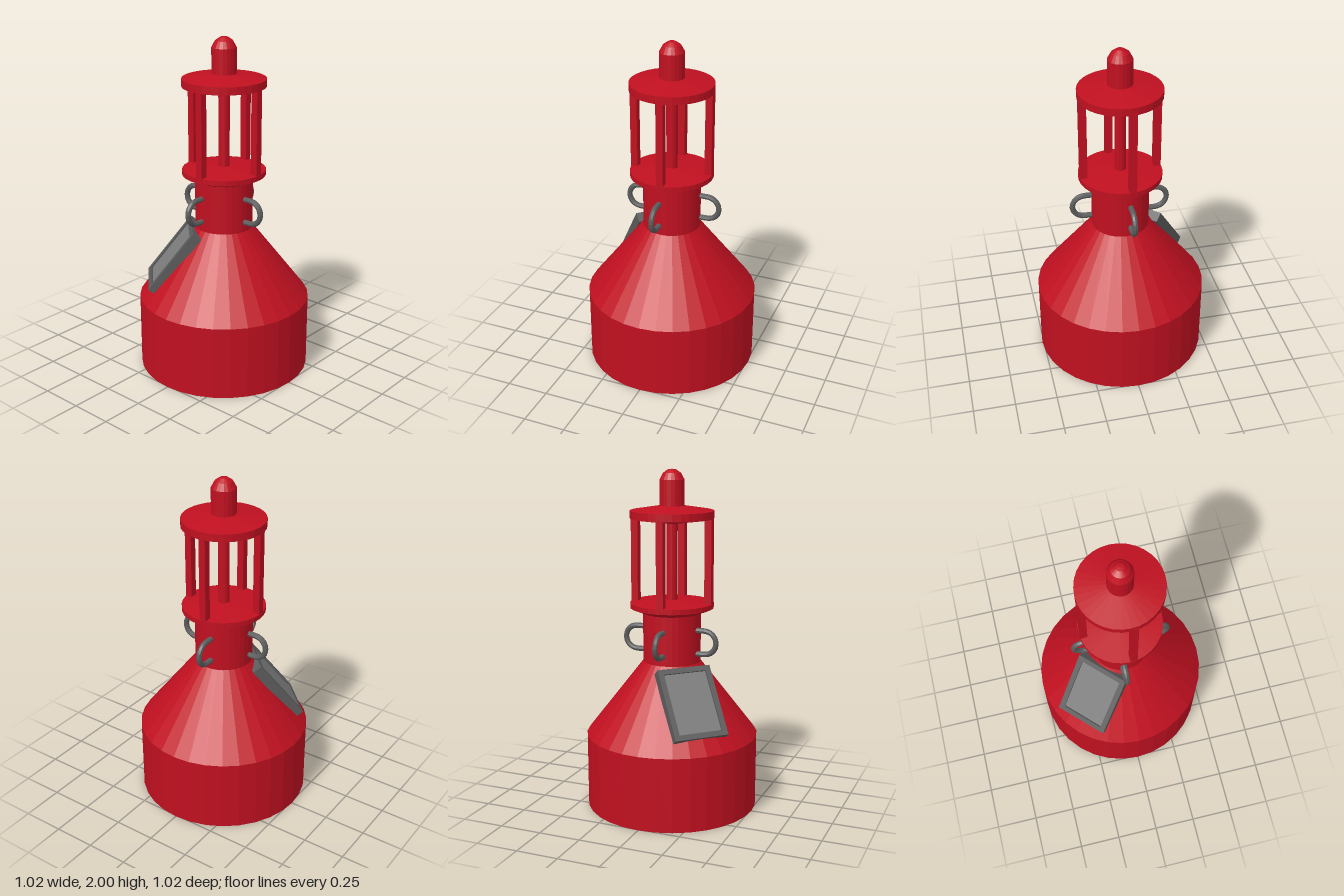
import * as THREE from 'three';

const red = new THREE.MeshStandardMaterial({ color: 0xc01020, flatShading: true });
const darkGrey = new THREE.MeshStandardMaterial({ color: 0x5c5c5c, flatShading: true });
const panelGrey = new THREE.MeshStandardMaterial({ color: 0x7c7c7c, flatShading: true });

export function createModel() {
  const model = new THREE.Group();

  function add(name, geometry, material, parent = model) {
    const mesh = new THREE.Mesh(geometry, material);
    mesh.name = name;
    parent.add(mesh);
    return mesh;
  }
  // profile: [radius, height] pairs from bottom to top
  function turned(name, profile, sides = 32) {
    const points = profile.map(([r, y]) => new THREE.Vector2(r, y));
    return add(name, new THREE.LatheGeometry(points, sides), red);
  }

  // Float body, shoulder, neck and lower flange
  turned('hull', [[0, 0], [0.51, 0], [0.51, 0.44], [0.17, 0.88], [0.17, 1.18]]);
  turned('lowerFlange', [[0.17, 1.17], [0.245, 1.2], [0.245, 1.23], [0, 1.25]]);

  // Lantern: central pole, roof and domed cap
  turned('centralPole', [[0.033, 1.23], [0.033, 1.71]], 16);
  turned('roof', [[0, 1.685], [0.243, 1.72], [0.243, 1.765], [0.07, 1.793], [0, 1.793]]);
  turned('lanternCap', [[0.072, 1.78], [0.072, 1.94], [0.051, 1.978], [0.022, 1.998], [0, 2]], 20);

  // Four cage posts, each set slightly to one side of its axis
  for (let i = 0; i < 4; i++) {
    const pivot = new THREE.Group();
    pivot.name = 'cagePost';
    pivot.rotation.y = (i * Math.PI) / 2;
    add('post', new THREE.BoxGeometry(0.042, 0.51, 0.042), red, pivot).position.set(0.022, 1.475, 0.221);
    model.add(pivot);
  }

  // Four D-shaped lifting handles around the neck
  const handlePath = new THREE.CurvePath();
  const arc = [];
  for (let i = 0; i <= 10; i++) {
    const a = Math.PI / 2 - (i / 10) * Math.PI;
    arc.push(new THREE.Vector3(0.215 + 0.07 * Math.cos(a), 1.008 + 0.07 * Math.sin(a), 0));
  }
  const path = [new THREE.Vector3(0.14, 1.078, 0), ...arc, new THREE.Vector3(0.14, 0.938, 0)];
  for (let i = 1; i < path.length; i++) handlePath.add(new THREE.LineCurve3(path[i - 1], path[i]));
  const handleGeometry = new THREE.TubeGeometry(handlePath, 32, 0.0165, 8);
  for (let i = 0; i < 4; i++) {
    const handle = add('liftingHandle', handleGeometry, darkGrey);
    handle.rotation.y = (i * Math.PI) / 2;
    if (i % 2) handle.position.x = -0.025;
    else handle.position.z = 0.012;
  }

  // Framed panel lying on the shoulder, 45 degrees round to the right
  const panel = new THREE.Group();
  panel.name = 'solarPanel';
  const w = 0.325, h = 0.435, border = 0.032, depth = 0.06;
  const rectangle = (Type, a, b) => new Type([[-a, -b], [a, -b], [a, b], [-a, b]].map(([x, y]) => new THREE.Vector2(x, y)));
  const frame = rectangle(THREE.Shape, w / 2, h / 2);
  frame.holes.push(rectangle(THREE.Path, w / 2 - border, h / 2 - border));
  const frameGeometry = new THREE.ExtrudeGeometry(frame, { depth, bevelEnabled: false });
  add('panelFrame', frameGeometry, darkGrey, panel).position.z = -depth;
  add('panelFace', new THREE.BoxGeometry(w - 2 * border, h - 2 * border, 0.045), panelGrey, panel).position.z = -0.0335;
  panel.rotation.set(-0.66, -Math.PI / 4, 0, 'YXZ');
  const radius = 0.325, side = -0.007, s = Math.SQRT1_2;
  panel.position.set((side - radius) * s, 0.708, (side + radius) * s);
  model.add(panel);

  return model;
}
